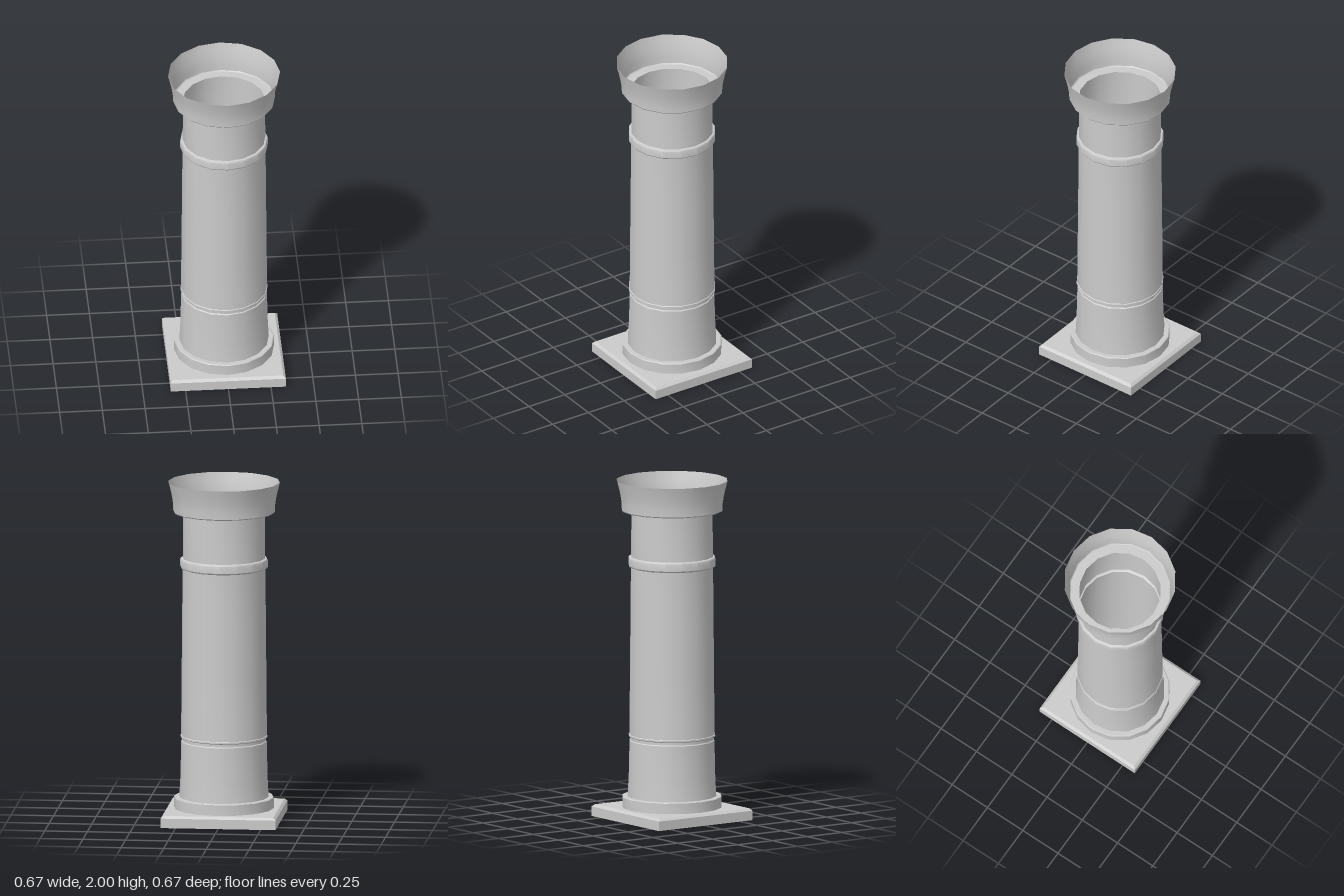
import * as THREE from 'three';
import { toCreasedNormals } from 'three/addons/utils/BufferGeometryUtils.js';

const SIDES = 16;

// Turns a [radius, height] profile, listed from bottom to top, about the y axis.
function turned(name, profile) {
  const points = profile.map(([r, y]) => new THREE.Vector2(r, y));
  const geometry = toCreasedNormals(new THREE.LatheGeometry(points, SIDES), Math.PI / 6);
  const material = new THREE.MeshStandardMaterial({ color: 0xcccccc, side: THREE.DoubleSide });
  const mesh = new THREE.Mesh(geometry, material);
  mesh.name = name;
  return mesh;
}

// Square slab with a chamfered top edge: a four-sided turning, corners on the diagonals.
function plinth() {
  const corner = Math.SQRT2;
  const points = [[0, 0], [0.337, 0], [0.337, 0.056], [0.322, 0.07], [0, 0.07]]
    .map(([half, y]) => new THREE.Vector2(half * corner, y));
  const geometry = new THREE.LatheGeometry(points, 4);
  geometry.rotateY(Math.PI / 4);
  const mesh = new THREE.Mesh(geometry,
    new THREE.MeshStandardMaterial({ color: 0xcccccc, flatShading: true }));
  mesh.name = 'plinth';
  return mesh;
}

export function createModel() {
  const column = new THREE.Group();
  column.name = 'column';
  column.add(
    plinth(),
    // Round foot under the shaft
    turned('foot', [[0.293, 0.07], [0.293, 0.132], [0.289, 0.136], [0.26, 0.136]]),
    // Hollow tapering shaft with a shallow groove
    turned('lowerShaft', [[0.262, 0.136], [0.256, 0.25], [0.251, 0.463]]),
    turned('groove', [[0.251, 0.463], [0.246, 0.468], [0.246, 0.484], [0.256, 0.489], [0.256, 0.497], [0.252, 0.5]]),
    turned('middleShaft', [[0.252, 0.5], [0.249, 0.83], [0.246, 1.16], [0.243, 1.49]]),
    // Raised collar
    turned('collar', [[0.243, 1.488], [0.253, 1.492], [0.257, 1.498], [0.257, 1.54], [0.253, 1.547], [0.242, 1.55]]),
    turned('upperShaft', [[0.242, 1.55], [0.24, 1.82]]),
    // Open flared capital: flat ring floor, then a curved wall
    turned('capital', [[0.24, 1.82], [0.293, 1.82], [0.298, 1.826], [0.3, 1.87], [0.306, 1.91], [0.316, 1.955], [0.328, 2]]),
  );
  return column;
}
